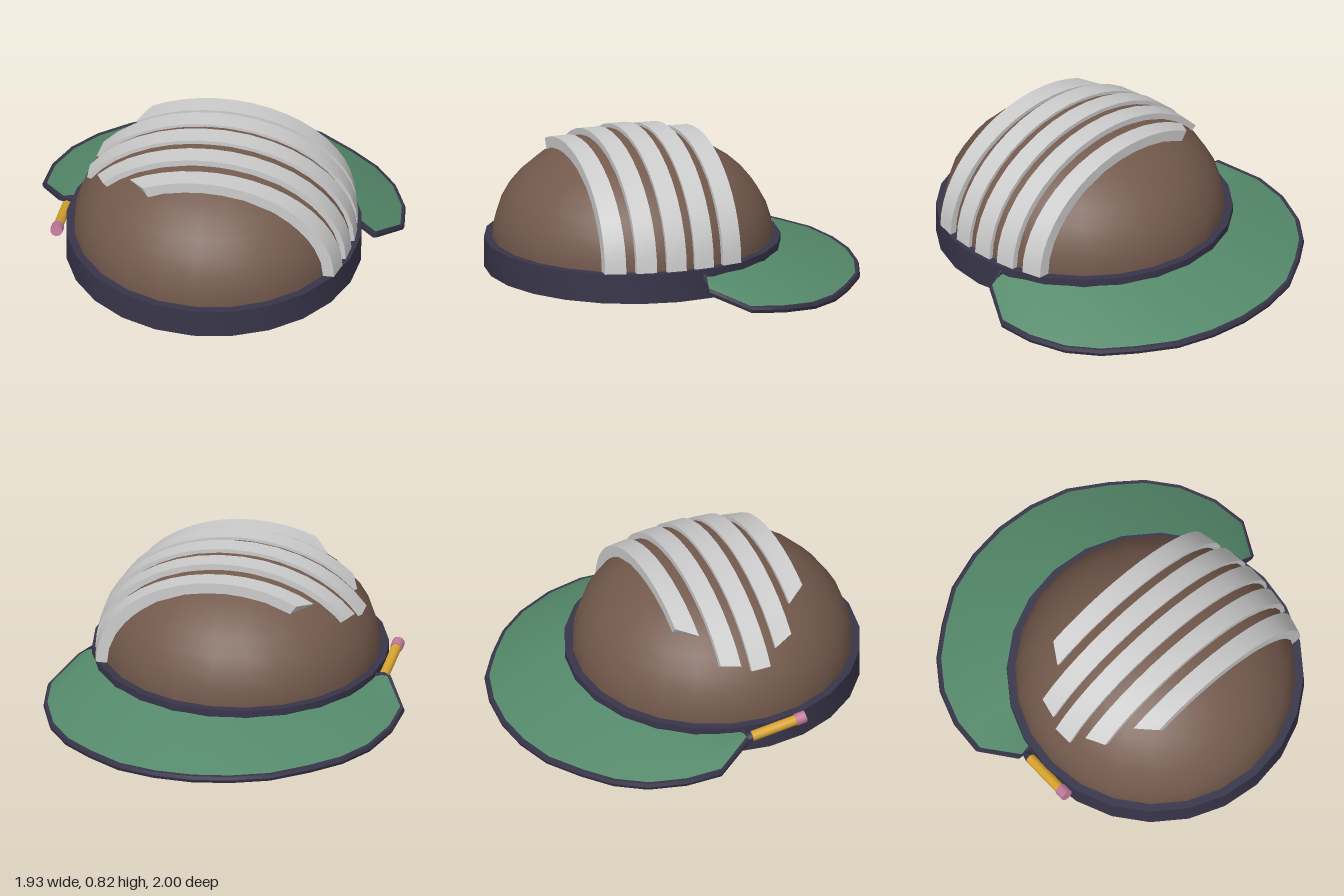
import * as THREE from 'three';
import { toCreasedNormals } from 'three/addons/utils/BufferGeometryUtils.js';

const CZ = 0.21; // centre of the dome along z
const BASE = 0.25; // height of the dome's base
const R = 0.742;
const H = 0.56;
const V = (x, y, z) => new THREE.Vector3(x, y, z);

const paint = (color) => new THREE.MeshStandardMaterial({ color, side: THREE.DoubleSide });

function add(parent, name, geometry, material) {
  const mesh = new THREE.Mesh(geometry, material);
  mesh.name = name;
  parent.add(mesh);
  return mesh;
}

// Skins a list of closed cross-sections and caps both ends.
function loft(rings, crease = 0.6) {
  const n = rings[0].length;
  const last = (rings.length - 1) * n;
  const index = [];
  for (let i = 0; i < rings.length - 1; i++) {
    for (let j = 0; j < n; j++) {
      const k = (j + 1) % n;
      const a = i * n + j, d = i * n + k, b = a + n, c = d + n;
      index.push(a, d, c, a, c, b);
    }
  }
  for (let j = 1; j < n - 1; j++) {
    index.push(0, j + 1, j, last, last + j, last + j + 1);
  }
  const geometry = new THREE.BufferGeometry().setFromPoints(rings.flat());
  geometry.setIndex(index);
  return toCreasedNormals(geometry, crease);
}

// A raised band arching over the dome, stopping short on the -x side.
function stripeGeometry({ z, top, rx, end }) {
  const edges = [z - 0.054, z + 0.054];
  const rings = [];
  const steps = 16;
  for (let i = 0; i <= steps; i++) {
    const section = edges.map((ez, k) => {
      const a = (Math.PI - THREE.MathUtils.degToRad(end[k])) * (i / steps);
      const s = 0.992 * Math.sqrt(1 - ((ez - CZ) / R) ** 2);
      return {
        inner: V(R * s * Math.cos(a), BASE + H * s * Math.sin(a), ez),
        outer: V(rx[k] * Math.cos(a), BASE + (top - BASE) * Math.sin(a), ez),
      };
    });
    rings.push([section[0].inner, section[1].inner, section[1].outer, section[0].outer]);
  }
  return loft(rings);
}

// Outer outline of the brim from the +x end to the middle of the back.
const OUTLINE = [
  [0.84, 0.18, 0.06], [0.955, 0.1, -0.14], [0.935, 0.08, -0.33], [0.86, 0.06, -0.52],
  [0.745, 0.052, -0.67], [0.595, 0.05, -0.79], [0.41, 0.05, -0.91], [0.205, 0.05, -0.97], [0, 0.05, -0.99],
];

function brimStations() {
  const half = OUTLINE.map(([x, y, z], i) => ({ x, y, z, a: 1.38 * (1 - i / 8) }));
  const mirrored = half.slice(0, -1).reverse().map((p) => ({ ...p, x: -p.x, a: -p.a }));
  return [...half, ...mirrored].map(({ x, y, z, a }) => ({
    inner: V(0.77 * Math.sin(a), 0.215, CZ - 0.77 * Math.cos(a)),
    outer: V(x, y - 0.038 * x, z), // the free edge leans down towards +x
  }));
}

function brimGeometry(stations) {
  const thick = V(0, 0.024, 0);
  return loft(stations.map(({ inner, outer }) => {
    const mid = inner.clone().lerp(outer, 0.5).add(V(0, 0.014, 0));
    const upper = [inner, mid, outer.clone().add(V(0, 0.012, 0))];
    const lower = upper.map((p) => p.clone().sub(thick)).reverse();
    return [...lower, ...upper];
  }));
}

// Dark piping along the free edge and the two short ends of the brim.
function trimGeometry(stations) {
  const first = stations[0], last = stations[stations.length - 1];
  const path = [
    { p: first.inner, d: V(0, 0, 1) },
    ...stations.map(({ inner, outer }) => {
      const d = outer.clone().sub(inner).setY(0).normalize();
      return { p: outer, d };
    }),
    { p: last.inner, d: V(0, 0, 1) },
  ];
  return loft(path.map(({ p, d }) => [[-0.014, -0.018], [-0.014, 0.018], [0.005, 0.018], [0.012, 0], [0.005, -0.018]]
    .map(([o, y]) => p.clone().addScaledVector(d, o).add(V(0, y, 0)))));
}

// Round bar between two points.
function bar(parent, name, from, to, r0, r1, sides, material) {
  const dir = to.clone().sub(from);
  const mesh = add(parent, name, new THREE.CylinderGeometry(r1, r0, dir.length(), sides), material);
  mesh.position.copy(from).lerp(to, 0.5);
  mesh.quaternion.setFromUnitVectors(V(0, 1, 0), dir.normalize());
  return mesh;
}

export function createModel() {
  const model = new THREE.Group();
  model.name = 'cap';
  const brown = paint(0x73594c);
  const navy = paint(0x38354a);
  const green = paint(0x54896a);
  const grey = paint(0xcccccc);

  // Crown
  const dome = add(model, 'dome', new THREE.SphereGeometry(1, 24, 10, 0, Math.PI * 2, 0, Math.PI / 2), brown);
  dome.scale.set(R, H, R);
  dome.position.set(0, BASE, CZ);

  // Headband and the lining across its bottom
  const profile = [[0.742, 0.09], [0.785, 0.09], [0.785, 0.25], [0.735, 0.25], [0.742, 0.09]]
    .map(([x, y]) => new THREE.Vector2(x, y));
  add(model, 'headband', toCreasedNormals(new THREE.LatheGeometry(profile, 24), 0.6), navy).position.z = CZ;
  const lining = add(model, 'lining', new THREE.CircleGeometry(0.743, 24), brown);
  lining.rotation.x = Math.PI / 2;
  lining.position.set(0, 0.1, CZ);

  // Stripes over the crown
  const stripes = new THREE.Group();
  stripes.name = 'stripes';
  model.add(stripes);
  [
    { z: 0.535, top: 0.79, rx: [0.725, 0.695], end: [55.5, 62] },
    { z: 0.372, top: 0.82, rx: [0.75, 0.735], end: [36, 40] },
    { z: 0.21, top: 0.83, rx: [0.758, 0.758], end: [28, 28] },
    { z: 0.053, top: 0.82, rx: [0.74, 0.752], end: [33.5, 31.5] },
    { z: -0.112, top: 0.79, rx: [0.7, 0.725], end: [56.5, 51] },
  ].forEach((stripe, i) => add(stripes, `stripe${i + 1}`, stripeGeometry(stripe), grey));

  // Brim at the back
  const stations = brimStations();
  add(model, 'brim', brimGeometry(stations), green);
  add(model, 'brimTrim', trimGeometry(stations), navy);

  // Pencil tucked against the headband
  const pencil = new THREE.Group();
  pencil.name = 'pencil';
  model.add(pencil);
  const tip = V(-0.795, 0.19, 0.05), neck = V(-0.8, 0.2, 0.1);
  const ferrule = V(-0.812, 0.243, 0.345), butt = V(-0.814, 0.253, 0.4);
  bar(pencil, 'pencilTip', tip, neck, 0.015, 0.028, 8, navy);
  bar(pencil, 'pencilBody', neck, ferrule, 0.028, 0.028, 8, paint(0xd9a52e));
  bar(pencil, 'eraser', ferrule, butt, 0.033, 0.033, 10, paint(0xc07a9a));

  return model;
}
